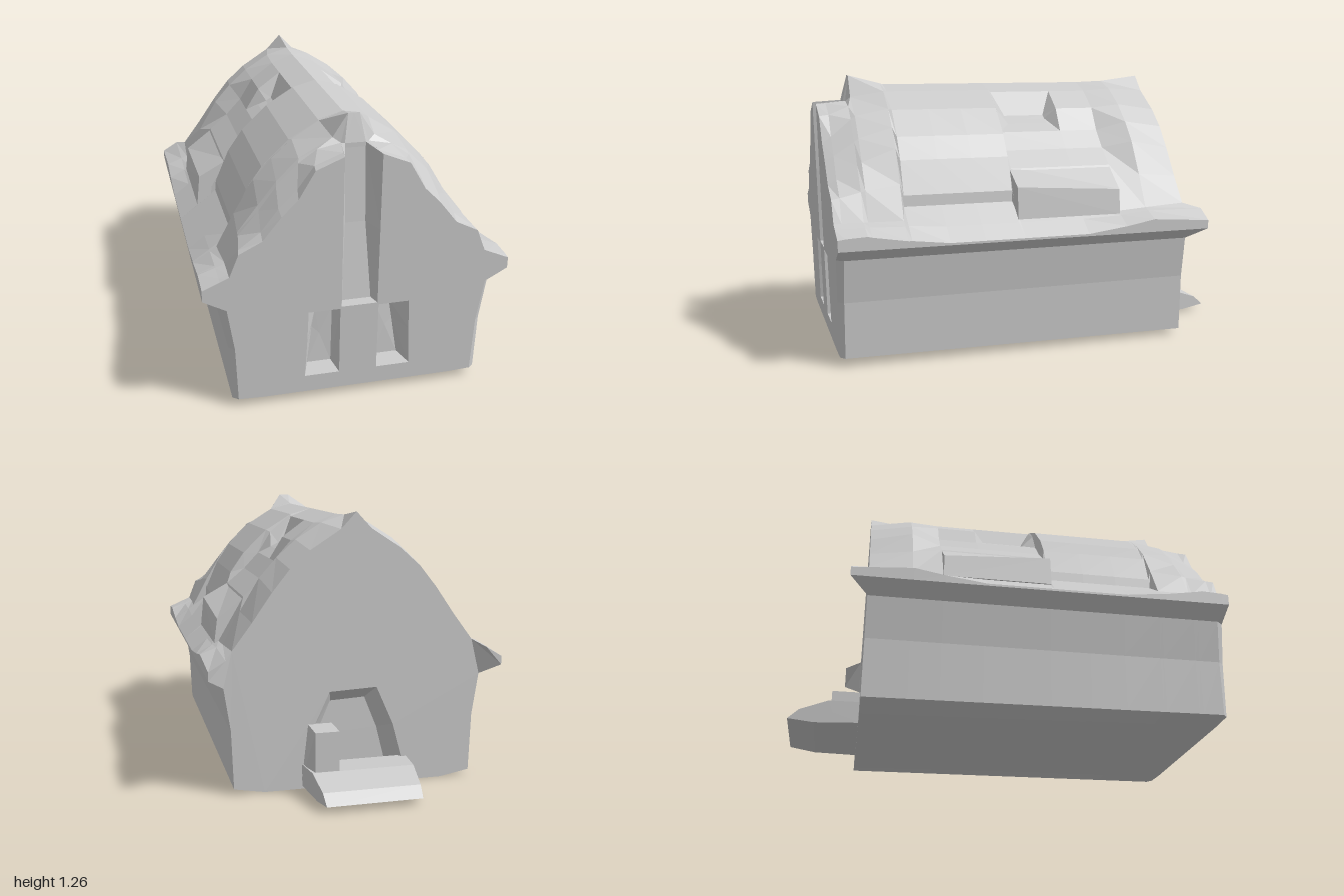
import * as THREE from 'three';

const material = new THREE.MeshStandardMaterial({ color: 0xcccccc, flatShading: true, side: THREE.DoubleSide });
const frontZ = (y) => 0.975 + 0.022 * y; // the front wall leans out a little
const BACK = -0.68;

function mesh(name, geometry) {
  const m = new THREE.Mesh(geometry, material);
  m.name = name;
  return m;
}

// Surface through rows of [x, y, z] points; side = -1 mirrors it in x
function surface(name, rows, side = 1, skip = () => false) {
  const pos = [];
  const tri = (a, b, c) => {
    for (const p of side > 0 ? [a, b, c] : [a, c, b]) pos.push(side * p[0], p[1], p[2]);
  };
  for (let i = 0; i < rows.length - 1; i++) {
    for (let j = 0; j < rows[i].length - 1; j++) {
      if (skip(i, j)) continue;
      const a = rows[i][j], b = rows[i][j + 1], c = rows[i + 1][j + 1], d = rows[i + 1][j];
      tri(a, b, c);
      tri(a, c, d);
    }
  }
  const g = new THREE.BufferGeometry();
  g.setAttribute('position', new THREE.Float32BufferAttribute(pos, 3));
  g.computeVertexNormals();
  return mesh(name, g);
}

// Recess: sloping walls from rim to inner outline, closed at the bottom
function pocket(name, rim, inner, side = 1) {
  const mid = [0, 1, 2].map((k) => inner.reduce((s, p) => s + p[k], 0) / inner.length);
  const close = (r) => [...r, r[0]];
  return surface(name, [close(rim), close(inner), close(inner.map(() => mid))], side);
}

// Flat wall with holes, from [x, y] outlines
function wall(name, outline, holes, zOf, faceBack = false) {
  const v = (pts) => pts.map(([x, y]) => new THREE.Vector2(x, y));
  const shape = new THREE.Shape(v(outline));
  for (const h of holes) shape.holes.push(new THREE.Path(v(h)));
  const g = new THREE.ShapeGeometry(shape);
  const p = g.attributes.position;
  for (let i = 0; i < p.count; i++) p.setZ(i, zOf(p.getY(i)));
  if (faceBack) g.index.array.reverse();
  g.computeVertexNormals();
  return mesh(name, g);
}

const mirror = (pts) => pts.map(([x, y]) => [-x, y]);

// Opening of a front window
const windowHole = [[0.085, 0.12], [0.24, 0.12], [0.23, 0.3], [0.225, 0.44], [0.085, 0.44]];

export function createModel() {
  const group = new THREE.Group();

  // Half profiles of the roof, from ridge to just above the eave
  const front = [[0.08, 1.14], [0.2, 1.09], [0.27, 0.97], [0.34, 0.9], [0.42, 0.8], [0.52, 0.75], [0.56, 0.65]];
  const lip = [[0.075, 1.142], [0.195, 1.095], [0.265, 1.0], [0.345, 0.92], [0.42, 0.825], [0.515, 0.755], [0.56, 0.65]];
  const second = [[0.06, 1.15], [0.16, 1.13], [0.24, 1.075], [0.335, 0.98], [0.41, 0.88], [0.5, 0.775], [0.56, 0.65]];
  const peak = [[0.025, 1.27], [0.09, 1.17], [0.235, 1.09], [0.33, 0.995], [0.41, 0.895], [0.5, 0.78], [0.56, 0.65]];
  const main = [[0, 1.23], [0.11, 1.195], [0.23, 1.12], [0.32, 1.04], [0.4, 0.95], [0.49, 0.8], [0.57, 0.65]];
  const bulge = [[0, 1.225], [0.11, 1.195], [0.24, 1.115], [0.36, 1], [0.43, 0.9], [0.495, 0.75], [0.5, 0.7]];
  const sunk = [[0, 1.225], [0.11, 1.185], [0.22, 1.105], [0.285, 1], [0.36, 0.92], [0.45, 0.845], [0.57, 0.64]];
  const rear = [[0, 1.255], [0.07, 1.18], [0.21, 1.09], [0.3, 1.01], [0.38, 0.91], [0.47, 0.78], [0.56, 0.66]];
  const stations = [ // profile, z, eave height
    [front, 1, 0.6], [lip, 0.955, 0.605], [second, 0.86, 0.61], [peak, 0.84, 0.605], [main, 0.685, 0.58],
    [bulge, 0.67, 0.58], [bulge, 0.5, 0.56], [bulge, 0.34, 0.56], [bulge, 0.165, 0.56],
    [sunk, 0.155, 0.56], [sunk, -0.15, 0.56], [sunk, -0.34, 0.585], [main, -0.48, 0.61], [rear, BACK, 0.59],
  ];
  const rows = stations.map(([prof, z, eave], i) => {
    const isFront = i === 0, isBack = i === stations.length - 1;
    const t = (1 - z) / 1.68;
    const corner = isFront ? 0.025 : 0; // softened front corners
    const [px, py] = prof[6];
    const lower = [[0.6, eave + (py - eave) * 0.075 / (0.675 - px)], [0.675, eave], [0.675, 0.55],
      [0.6 - corner, 0.495], [0.57 - corner, 0.3], [0.56 - corner, 0.045 - 0.015 * t],
      [0.42, 0.04 - 0.035 * t], [0, 0.04 - 0.02 * t]];
    return [...prof, ...lower].map(([x, y], j) =>
      [x, y, isFront ? frontZ(y) : isBack && j >= 7 && j <= 9 ? -0.76 : z]);
  });

  // Roof, side walls and floor; the two skylight cells stay open
  const skylightRow = stations.findIndex((s) => s[0] === sunk);
  for (const s of [1, -1]) {
    group.add(surface('roofAndSide', rows, s, (i, j) => i === skylightRow && (j === 1 || j === 2)));

    // Skylight recess
    const a = rows[skylightRow], b = rows[skylightRow + 1];
    const rim = [a[1], a[2], a[3], b[3], b[2], b[1]];
    const inner = (z) => [[0.165, 1.07, z], [0.19, 1.055, z], [0.23, 1.035, z]];
    group.add(pocket('skylight', rim, [...inner(0.1), ...inner(-0.1).reverse()], s));

    // Side dormer, a little lower towards the back
    const dormerRow = (z, drop) => [[0.43, 0.855], [0.575, 0.775 - drop], [0.59, 0.63], [0.45, 0.62], [0.43, 0.855]]
      .map(([x, y]) => [x, y, z]);
    const ends = [dormerRow(0.162, 0), dormerRow(-0.34, 0.03)];
    const flat = (row) => row.map((p) => [0.5, 0.73, p[2]]);
    group.add(surface('dormer', [flat(ends[0]), ...ends, flat(ends[1])], s));

    // Overhanging eave end
    const e = rows[rows.length - 1];
    group.add(surface('eaveEnd', [[e[6], e[7], e[8]], [e[10], e[9], e[9]]], s));

    // Front window recess
    const f = (x, y) => [x, y, frontZ(y)];
    group.add(pocket('frontWindow', windowHole.map(([x, y]) => f(x, y)),
      [[0.1, 0.125, 0.88], [0.21, 0.125, 0.88], [0.185, 0.3, 0.87], [0.17, 0.39, 0.87], [0.095, 0.4, 0.88]], s));

    // Tall groove above the windows, rising to the ridge peak
    group.add(surface('frontGroove', [
      [[0, 1.23, 0.685], [0, 1.23, 0.685], [0, 1.23, 0.685]],
      [[0, 1.27, 0.84], [0.025, 1.27, 0.84], [0.025, 1.27, 0.84]],
      [[0, 1.15, 0.87], [0.045, 1.15, 0.87], [0.06, 1.15, 0.86]],
      [[0, 1.13, 0.87], [0.045, 1.13, 0.87], f(0.08, 1.14)],
      [[0, 0.8, 0.89], [0.045, 0.8, 0.89], f(0.08, 0.8)],
      [[0, 0.45, 0.93], [0.065, 0.45, 0.93], f(0.08, 0.45)],
      [f(0, 0.45), f(0.065, 0.45), f(0.08, 0.45)],
    ], s));
  }

  // Front wall with groove notch and window openings
  const outline = (row) => row.slice(0, -1).map(([x, y]) => [x, y]);
  const fr = [[0.08, 0.45], ...outline(rows[0])];
  group.add(wall('frontWall', [...fr, ...mirror(fr).reverse()], [windowHole, mirror(windowHole)], frontZ));

  // Back wall with doorway
  const br = outline(rows[rows.length - 1]).filter((p, j) => j < 7 || j > 9);
  const door = [[-0.24, 0.06], [0.24, 0.06], [0.2, 0.28], [0.12, 0.45], [-0.1, 0.46], [-0.18, 0.28]];
  group.add(wall('backWall', [...br, ...mirror(br.slice(1)).reverse()], [door], () => BACK, true));
  group.add(pocket('doorway', door.map(([x, y]) => [x, y, BACK]),
    door.map(([x, y]) => [x * 0.75, 0.06 + (y - 0.06) * 0.82, -0.57])));

  // Sloping doorstep, narrower at its outer end
  const step = [[-0.66, 0.02], [-0.66, 0.12], [-0.82, 0.125], [-0.95, 0.08], [-1, 0.035], [-0.88, 0.018]];
  const ring = (k) => [...step, step[0]].map(([z, y]) => [k * (0.25 - 0.1 * (-0.66 - z)), y, z]);
  const tip = (k) => ring(k).map(() => [k * 0.236, 0.07, -0.8]);
  group.add(surface('doorstep', [tip(-1), ring(-1), ring(1), tip(1)]));

  // Block beside the door, flared towards the wall
  const block = new THREE.BoxGeometry(0.11, 0.26, 0.14);
  const p = block.attributes.position;
  for (let i = 0; i < p.count; i++) {
    if (p.getY(i) < 0 && p.getX(i) > 0 && p.getZ(i) > 0) p.setX(i, 0.085);
  }
  block.computeVertexNormals();
  const post = mesh('doorBlock', block);
  post.position.set(0.165, 0.175, -0.745);
  group.add(post);

  return group;
}
